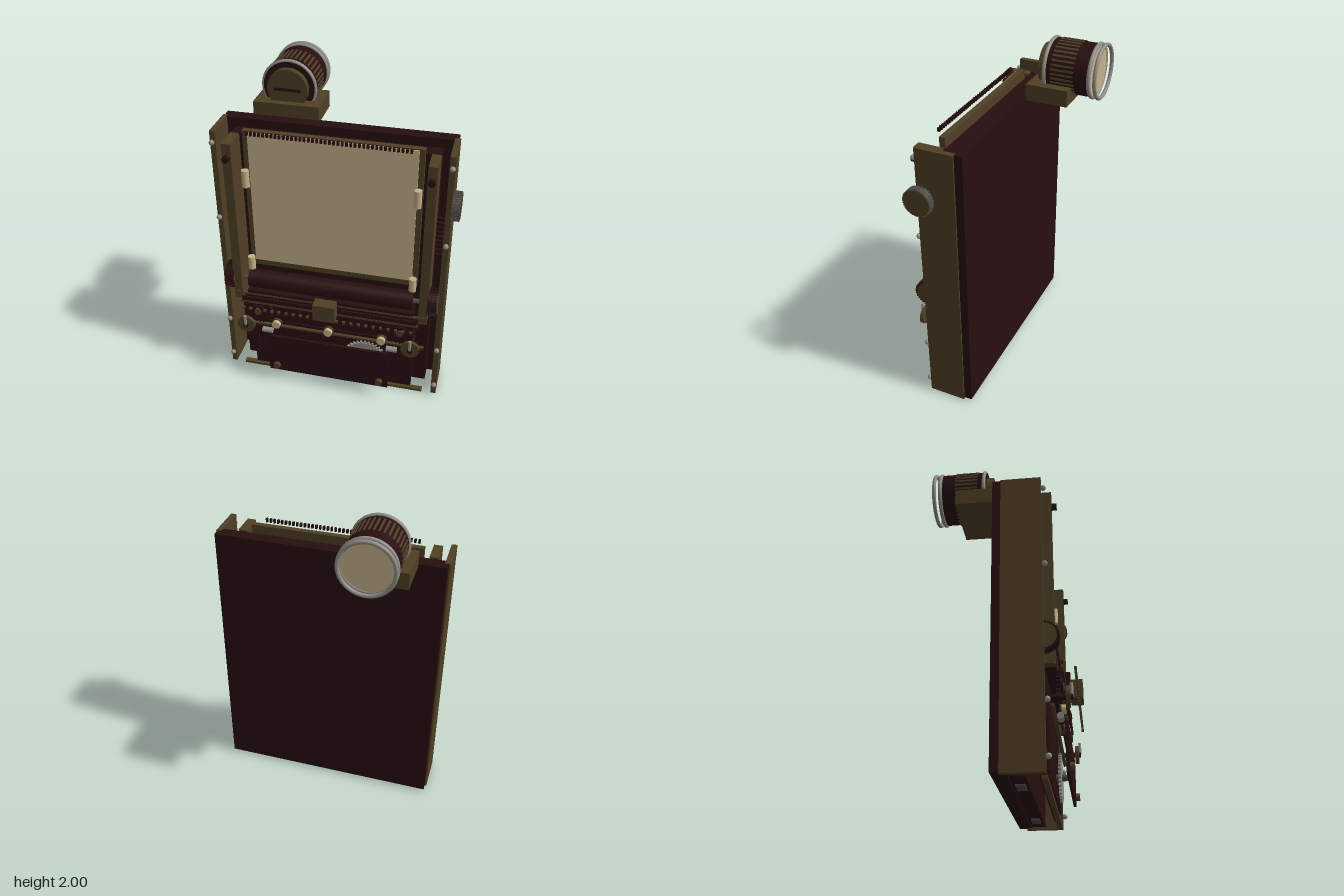
import * as THREE from 'three';

const material = (name, color) => {
  const m = new THREE.MeshStandardMaterial({ color });
  m.name = name;
  return m;
};

export function createModel() {
  const dark = material('dark mahogany', 0x270e10);
  const brass = material('aged brass', 0x4f3f25);
  const cream = material('cream paper', 0xc4b088);
  const steel = material('steel', 0x8e8c84);
  const iron = material('dark iron', 0x4c4a44);
  const model = new THREE.Group();
  model.name = 'machine';
  const CX = -0.0225; // mirror plane of the cabinet

  const add = (name, geo, mat, x, y, z) => {
    const m = new THREE.Mesh(geo, mat);
    m.name = name;
    m.position.set(x, y, z);
    model.add(m);
    return m;
  };
  // Box given by its limits on each axis
  const box = (name, mat, x0, x1, y0, y1, z0, z1) =>
    add(name, new THREE.BoxGeometry(x1 - x0, y1 - y0, z1 - z0), mat,
      (x0 + x1) / 2, (y0 + y1) / 2, (z0 + z1) / 2);
  // Cylinder along an axis, centred on a point
  const cyl = (name, mat, axis, r, len, x, y, z, sides = 32) => {
    const g = new THREE.CylinderGeometry(r, r, len, sides);
    if (axis === 'x') g.rotateZ(Math.PI / 2);
    if (axis === 'z') g.rotateX(Math.PI / 2);
    return add(name, g, mat, x, y, z);
  };
  // Ribs around a cylinder that lies along x or z
  const ribs = (name, mat, axis, count, r, len, width, x, y, z) => {
    const group = new THREE.Group();
    group.name = name;
    group.position.set(x, y, z);
    const geo = axis === 'x' ? new THREE.BoxGeometry(len, width, width)
      : new THREE.BoxGeometry(width, width, len);
    for (let i = 0; i < count; i++) {
      const a = (i / count) * Math.PI * 2, c = Math.cos(a) * r, s = Math.sin(a) * r;
      const m = new THREE.Mesh(geo, mat);
      m.name = 'rib';
      if (axis === 'x') { m.position.set(0, s, c); m.rotation.x = -a; }
      else { m.position.set(c, s, 0); m.rotation.z = a; }
      group.add(m);
    }
    model.add(group);
  };
  // Flat toothed wheel facing the front
  const gear = (name, mat, r, teeth, depth, x, y, z) => {
    const shape = new THREE.Shape();
    for (let i = 0; i < teeth * 4; i++) {
      const a = (i / (teeth * 4)) * Math.PI * 2, q = i % 4 < 2 ? r : r * 0.9;
      shape[i ? 'lineTo' : 'moveTo'](Math.cos(a) * q, Math.sin(a) * q);
    }
    const g = new THREE.ExtrudeGeometry(shape, { depth, bevelEnabled: false });
    add(name, g, mat, x, y, z);
  };
  const bothSides = (fn) => [-1, 1].forEach((s) => fn(s, (d) => CX + s * d));

  // Cabinet
  box('backPanel', dark, -0.69, 0.645, 0.02, 1.69, -0.027, 0.05);
  box('innerBody', dark, -0.615, 0.57, 0.015, 1.64, 0.056, 0.14);
  box('lowerFrontPlate', dark, -0.53, 0.49, 0.03, 0.62, 0.2, 0.235);
  box('bottomStrip', brass, -0.61, 0.565, 0.003, 0.02, 0.215, 0.245);
  bothSides((s, X) => {
    cyl('panelPlaceholder', brass, 'y', 0.01, 0.02, X(0.58), 0.03, 0.1, 8).name = 'cornerPost';
    add('sidePanel', new THREE.BoxGeometry(0.032, 1.68, 0.225), brass, X(0.661), 0.85, 0.1325);
    add('guideRail', new THREE.BoxGeometry(0.052, 1.05, 0.148), brass, X(0.567), 1.12, 0.222);
    add('footPad', new THREE.BoxGeometry(0.11, 0.01, 0.05), iron, X(0.4), 0.011, 0.098);
    for (const y of [1.625, 1.14, 0.375, 0.09])
      add('sideScrew', new THREE.SphereGeometry(0.016, 12, 8), steel, X(0.663), y, 0.257);
    cyl('railScrew', dark, 'z', 0.02, 0.03, X(0.567), 1.56, 0.309, 16);
    // Paper holders
    for (const [y, h] of [[1.41, 0.105], [0.832, 0.085]])
      cyl('paperRoller', cream, 'y', 0.022, h, X(0.49), y, 0.235, 20);
    // Roller knobs
    cyl('rollerKnob', dark, 'x', 0.079, 0.055, X(0.616), 0.73, 0.24);
    cyl('rollerKnobCap', brass, 'x', 0.07, 0.062, X(0.616), 0.73, 0.24);
    ribs('rollerKnobRibs', dark, 'x', 30, 0.08, 0.055, 0.009, X(0.616), 0.73, 0.24);
  });

  // Large knob on the left side
  cyl('sideKnob', iron, 'x', 0.079, 0.045, 0.678, 1.39, 0.225);
  cyl('sideKnobFace', brass, 'x', 0.076, 0.004, 0.7, 1.39, 0.225);
  ribs('sideKnobRibs', iron, 'x', 36, 0.079, 0.045, 0.008, 0.677, 1.39, 0.225);
  for (let i = 0; i < 9; i++)
    box('ventSlat', dark, 0.575, 0.62, 1.02 + i * 0.03, 1.035 + i * 0.03, 0.17, 0.19);

  // Paper, backing plate and comb
  box('backingPlate', brass, -0.53, 0.487, 0.79, 1.685, 0.155, 0.19);
  box('paper', cream, -0.5, 0.457, 0.83, 1.68, 0.191, 0.198);
  for (let i = 0; i < 40; i++) {
    const x = -0.495 + i * 0.0233;
    box('combTooth', dark, x, x + 0.012, 1.678, 1.7, 0.22, 0.236);
  }

  // Writing roller and bars
  cyl('writingRoller', dark, 'x', 0.058, 1.0, CX, 0.725, 0.247);
  cyl('rollerAxle', iron, 'x', 0.015, 1.18, CX, 0.725, 0.247, 12);
  box('paperShelf', dark, -0.53, 0.485, 0.645, 0.665, 0.2, 0.3);
  box('upperBar', brass, -0.6, 0.555, 0.634, 0.646, 0.29, 0.302);
  box('scaleBar', brass, -0.57, 0.525, 0.592, 0.606, 0.318, 0.332);
  box('typeBar', dark, -0.56, 0.515, 0.606, 0.634, 0.318, 0.33);
  for (let i = 0; i < 24; i++) {
    const x = -0.535 + i * 0.0443;
    box('scaleTick', brass, x, x + 0.017, 0.594, 0.608, 0.386, 0.4);
    box('scaleNotch', dark, x, x + 0.017, 0.578, 0.594, 0.318, 0.332);
  }
  box('carriageBlock', brass, -0.09, 0.043, 0.605, 0.715, 0.345, 0.417);
  box('carriageArm', dark, -0.038, -0.006, 0.69, 0.785, 0.305, 0.346);

  // Spools, levers and buttons
  box('leverBar', dark, -0.52, 0.475, 0.432, 0.45, 0.29, 0.3);
  bothSides((s, X) => {
    gear('spoolGear', dark, 0.09, 24, 0.022, X(0.441), 0.525, 0.292);
    cyl('spoolHub', brass, 'z', 0.022, 0.02, X(0.441), 0.525, 0.322, 16);
    cyl('spoolPlate', dark, 'z', 0.045, 0.012, X(0.441), 0.525, 0.318, 24);
    cyl('leverDisc', brass, 'z', 0.056, 0.022, X(0.512), 0.44, 0.352);
    cyl('leverShaft', dark, 'z', 0.016, 0.15, X(0.512), 0.44, 0.3, 12);
    cyl('leverPin', steel, 'y', 0.009, 0.07, X(0.512), 0.48, 0.37, 12);
    cyl('rodRoller', steel, 'x', 0.018, 0.065, X(0.393), 0.374, 0.305, 20);
  });
  for (const x of [-0.352, CX, 0.307]) {
    cyl('button', cream, 'z', 0.026, 0.03, x, 0.44, 0.315, 24);
    cyl('buttonCollar', brass, 'z', 0.032, 0.012, x, 0.44, 0.302, 24);
  }
  box('crossRod', brass, -0.56, 0.56, 0.388, 0.4, 0.262, 0.282);

  // Lower front door, drive wheel and slats
  box('frontDoor', dark, -0.403, 0.36, 0.085, 0.36, 0.325, 0.342);
  for (const x of [-0.352, 0.307]) cyl('doorScrew', brass, 'z', 0.022, 0.025, x, 0.13, 0.353, 16);
  gear('driveWheel', steel, 0.145, 36, 0.015, 0.2, 0.22, 0.255);
  cyl('driveWheelAxle', iron, 'z', 0.02, 0.12, 0.2, 0.22, 0.27, 16);
  bothSides((s, X) => {
    for (const d of [0.42, 0.445, 0.485])
      add('slat', new THREE.BoxGeometry(0.012, 0.28, 0.012), dark, X(d), 0.21, 0.24);
  });
  for (let i = 0; i < 16; i++)
    box('bottomTooth', dark, -0.36 + i * 0.043, -0.34 + i * 0.043, 0.06, 0.075, 0.235, 0.245);

  // Lamp drum on its bracket
  const LX = -0.34, LY = 1.837;
  box('drumBracket', brass, -0.532, -0.148, 1.67, 1.767, -0.27, -0.02);
  cyl('drum', dark, 'z', 0.152, 0.262, LX, LY, -0.231, 48);
  cyl('drumCap', brass, 'z', 0.118, 0.04, LX, LY, -0.082, 40);
  box('drumSlot', dark, LX - 0.077, LX + 0.077, LY - 0.008, LY + 0.008, -0.063, -0.057);
  ribs('drumRibs', brass, 'z', 36, 0.151, 0.135, 0.011, LX, LY, -0.217);
  for (const z of [-0.111, -0.375, -0.411])
    add('drumRing', new THREE.TorusGeometry(0.151, 0.0115, 12, 48), steel, LX, LY, z);
  cyl('drumLens', cream, 'z', 0.143, 0.02, LX, LY, -0.372, 40);

  return model;
}
